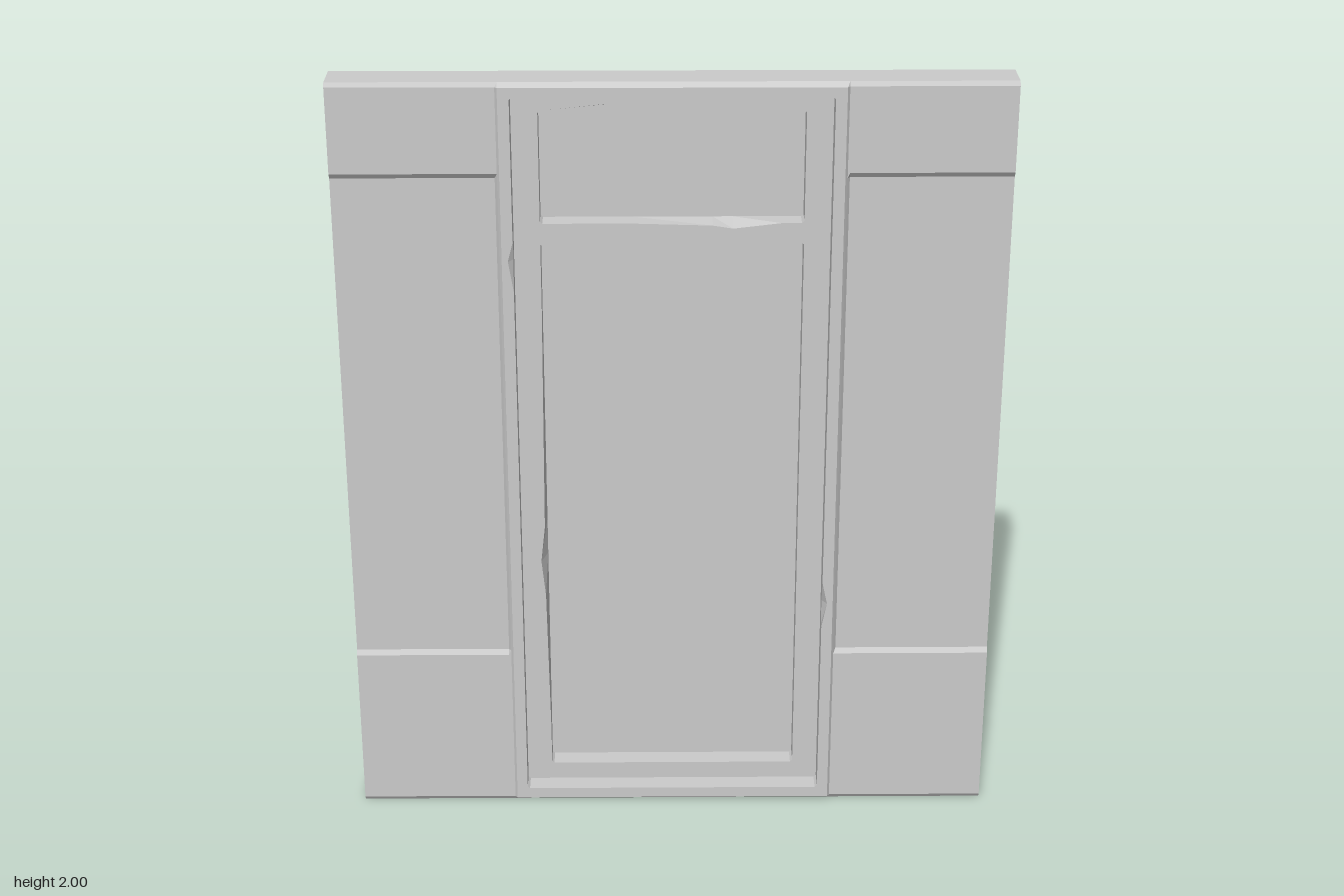
import * as THREE from 'three';

const material = new THREE.MeshStandardMaterial({ color: 0xcccccc, flatShading: true, side: THREE.DoubleSide });
const BACK = -0.055, EDGE = 0.04, WALL = 0.047, RECESS = 0.038, FRAME = 0.055, DOOR = 0.003, PANE = -0.049;
const v = (x, y, z) => new THREE.Vector3(x, y, z);

// Skin between successive rows of points
function loft(rows, closed = false) {
  const pts = [];
  for (let r = 0; r + 1 < rows.length; r++) {
    const a = rows[r], b = rows[r + 1], n = a.length;
    for (let i = 0; i < (closed ? n : n - 1); i++) {
      const j = (i + 1) % n;
      pts.push(a[i], b[i], b[j], a[i], b[j], a[j]);
    }
  }
  const g = new THREE.BufferGeometry().setFromPoints(pts);
  g.computeVertexNormals();
  return g;
}

// Rectangular outline with tiny cut corners; chips are [position, outward offset]
// in counterclockwise order and k scales how far they bulge
function outline(hw, y0, y1, chips = {}, k = 1) {
  const c = 0.006, { bottom = [], right = [], top = [], left = [] } = chips;
  return [
    [-hw + c, y0], ...bottom.map(([p, o]) => [p, y0 - o * k]), [hw - c, y0],
    [hw, y0 + c], ...right.map(([p, o]) => [hw + o * k, p]), [hw, y1 - c],
    [hw - c, y1], ...top.map(([p, o]) => [p, y1 + o * k]), [-hw + c, y1],
    [-hw, y1 - c], ...left.map(([p, o]) => [-hw - o * k, p]), [-hw, y0 + c],
  ].map(([x, y]) => new THREE.Vector2(x, y));
}
const atZ = (pts, z) => pts.map(p => v(p.x, p.y, z));

// Flat face with openings
function face(outer, holes, z) {
  const s = new THREE.Shape(outer);
  holes.forEach(h => s.holes.push(new THREE.Path(h)));
  return new THREE.ShapeGeometry(s).translate(0, 0, z);
}

// Vertical wall profile: bevelled ends and a shallow middle band
const profile = (x, top, mid) => [
  [0, EDGE], [0.011, top], [0.447, top], [0.46, mid], [1.76, mid], [1.773, top], [1.989, top], [2, EDGE],
].map(([y, z]) => v(x, y, z));

export function createModel() {
  const group = new THREE.Group();
  const add = (name, geometry) => {
    const m = new THREE.Mesh(geometry, material);
    m.name = name;
    group.add(m);
  };

  // Side walls with recessed bands, stepping up to the door frame
  for (const s of [1, -1]) {
    const side = s > 0 ? 'left' : 'right';
    const rows = [
      profile(0.83 * s, WALL, RECESS),
      profile(0.43 * s, WALL, RECESS),
      profile(0.424 * s, WALL, WALL),
      profile(0.418 * s, FRAME, FRAME),
    ];
    add(side + 'Wall', loft(s > 0 ? rows.reverse() : rows));
    // Outer edge back to the open rear
    const front = profile(0.83 * s, WALL, RECESS);
    const rear = front.map(p => v(p.x, p.y, BACK));
    add(side + 'Edge', loft(s > 0 ? [front, rear] : [rear, front]));
  }

  // Top and bottom edges, plus the frame's bevel along each
  for (const [name, y, yb] of [['top', 2, 1.989], ['bottom', 0, 0.011]]) {
    const row = (hw, yy, z) => [v(-hw, yy, z), v(hw, yy, z)];
    const edge = [row(0.83, y, BACK), row(0.83, y, EDGE)];
    const bevel = [row(0.418, y, EDGE), row(0.418, yb, FRAME)];
    if (y > 0) { edge.reverse(); bevel.reverse(); }
    add(name + 'Edge', loft(edge.reverse()));
    add(name + 'FrameBevel', loft(bevel.reverse()));
  }

  // Door frame and its deep reveal, with worn chips on the front edge
  const wear = {
    right: [[0.53, 0], [0.6, 0.013], [0.66, 0]],
    left: [[1.6, 0], [1.55, 0.013], [1.47, 0]],
  };
  const opening = k => outline(0.39, 0.04, 1.965, wear, k);
  const rim = [[-0.418, 0.011], [0.418, 0.011], [0.418, 1.989], [-0.418, 1.989]].map(p => new THREE.Vector2(...p));
  add('doorFrame', face(rim, [opening(1)], FRAME));
  add('doorReveal', loft([atZ(opening(0), DOOR), atZ(opening(0), FRAME - 0.02), atZ(opening(1), FRAME)], true));

  // Recessed upper and lower door panels
  const panels = [
    ['upper', 1.63, 1.918, {
      bottom: [[-0.1, 0], [0.1, 0.006], [0.15, 0.014], [0.27, 0]],
      top: [[0.25, 0.002], [-0.1, 0.01], [-0.16, 0.016], [-0.31, 0]],
    }],
    ['lower', 0.088, 1.58, {
      left: [[1.4, 0], [0.8, 0.005], [0.7, 0.016], [0.6, 0.006], [0.2, 0]],
    }],
  ];
  const holes = [];
  for (const [name, y0, y1, chips] of panels) {
    const front = outline(0.325, y0, y1, chips, 1), rear = outline(0.325, y0, y1, chips, 0);
    holes.push(front);
    add(name + 'PanelReveal', loft([atZ(rear, PANE), atZ(front, DOOR)], true));
    add(name + 'Panel', face(outline(0.325, y0, y1), [], PANE));
  }
  add('door', face(opening(0), holes, DOOR));

  return group;
}
